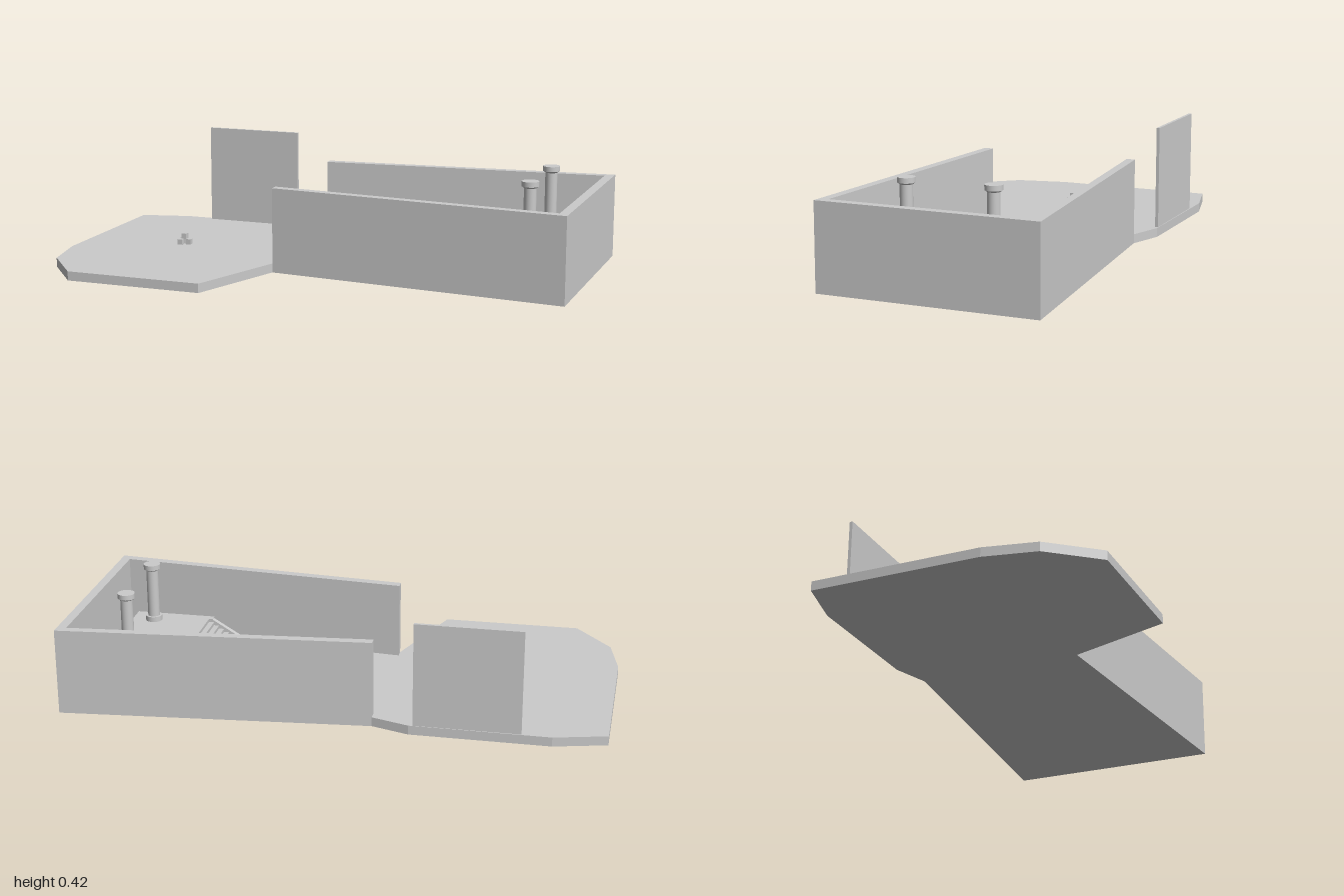
import * as THREE from 'three';

const FLOOR = 0.035, WALL_TOP = 0.325, DECK = 0.16;

export function createModel() {
  const model = new THREE.Group();
  const material = new THREE.MeshStandardMaterial({ color: 0xcccccc, flatShading: true });
  const smooth = new THREE.MeshStandardMaterial({ color: 0xcccccc });

  function add(name, geometry, x = 0, y = 0, z = 0, parent = model, mat = material) {
    const mesh = new THREE.Mesh(geometry, mat);
    mesh.name = name;
    mesh.position.set(x, y, z);
    parent.add(mesh);
    return mesh;
  }
  const extrude = (points, depth) => new THREE.ExtrudeGeometry(
    new THREE.Shape(points.map(([a, b]) => new THREE.Vector2(a, b))),
    { depth, bevelEnabled: false });
  // plan outline in (x, z), raised from y0 to y1
  const slab = (name, plan, y0, y1) => add(name,
    extrude(plan.map(([x, z]) => [x, -z]), y1 - y0).rotateX(-Math.PI / 2), 0, y0, 0);

  // floor plate: wide forecourt and flared hall
  slab('floor', [
    [-1, -0.455], [-0.805, -0.503], [-0.29, -0.5], [-0.15, -0.455], [1, -0.555],
    [1, 0.275], [-0.15, 0.17], [-0.283, 0.553], [-0.815, 0.553], [-0.96, 0.375], [-1, 0.18],
  ], 0, FLOOR);

  // U-shaped wall, open towards the forecourt
  slab('hallWalls', [
    [-0.15, -0.455], [1, -0.555], [1, 0.275], [-0.15, 0.17],
    [-0.15, 0.135], [0.965, 0.237], [0.965, -0.52], [-0.15, -0.422],
  ], FLOOR, WALL_TOP);

  // free-standing thin panel
  add('backPanel', new THREE.BoxGeometry(0.39, 0.39, 0.012), -0.5, FLOOR + 0.195, -0.492);

  // raised deck, notched for the stairs
  slab('deck', [
    [0.58, -0.385], [0.89, -0.385], [0.89, 0.095], [0.58, 0.095],
    [0.58, 0.068], [0.615, 0.068], [0.615, -0.348], [0.58, -0.348],
  ], DECK - 0.025, DECK);

  // stairs: sawtooth flight with a sloping underside
  const stairs = new THREE.Group();
  stairs.name = 'stairs';
  model.add(stairs);
  const steps = 10, x0 = 0.415, run = 0.02, rise = (DECK - FLOOR) / steps;
  const profile = [[x0, FLOOR]];
  for (let i = 0; i < steps; i++) {
    profile.push([x0 + i * run, FLOOR + (i + 1) * rise], [x0 + (i + 1) * run, FLOOR + (i + 1) * rise]);
  }
  profile.push([x0 + steps * run, DECK - 0.03], [x0 + 0.035, FLOOR]);
  add('flight', extrude(profile, 0.416), 0, 0, -0.348, stairs);

  // sloping side boards of the stairs
  for (const z of [-0.37, 0.066]) {
    add('stringer', extrude([
      [0.405, FLOOR], [0.45, FLOOR], [0.64, DECK - 0.025], [0.58, DECK - 0.002], [0.405, FLOOR + 0.018],
    ], 0.02), 0, 0, z, stairs);
  }

  // two posts with a collar at the foot and a cap on top
  const ring = (r0, r1, h) => new THREE.CylinderGeometry(r1, r0, h, 24);
  for (const z of [-0.303, 0.024]) {
    const post = new THREE.Group();
    post.name = 'post';
    post.position.set(0.805, DECK, z);
    model.add(post);
    add('shaft', ring(0.023, 0.023, 0.22), 0, 0.11, 0, post, smooth);
    add('footCollar', ring(0.032, 0.032, 0.02), 0, 0.01, 0, post, smooth);
    add('capUnderside', ring(0.023, 0.032, 0.006), 0, 0.209, 0, post, smooth);
    add('cap', ring(0.032, 0.032, 0.019), 0, 0.2215, 0, post, smooth);
  }

  // small pile of blocks on the forecourt
  const pile = new THREE.Group();
  pile.name = 'blockPile';
  model.add(pile);
  const size = 0.021;
  for (const [x, y, z] of [
    [-0.616, 0, -0.038], [-0.585, 0, -0.02], [-0.614, 0, -0.006], [-0.604, 1, -0.022],
  ]) {
    add('block', new THREE.BoxGeometry(size, size, size), x, FLOOR + size * (y + 0.5), z, pile);
  }

  return model;
}
